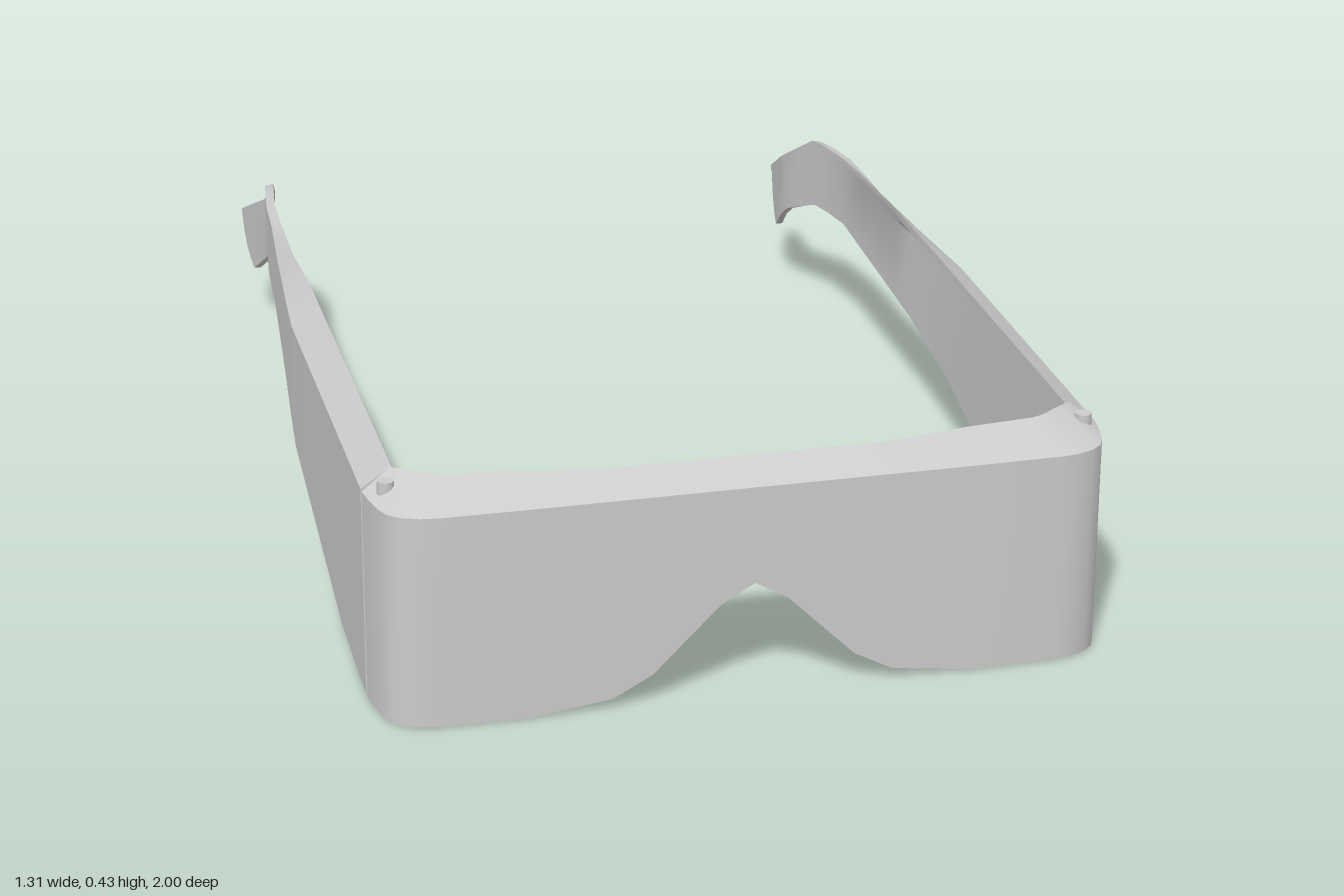
import * as THREE from 'three';
import { toCreasedNormals } from 'three/addons/utils/BufferGeometryUtils.js';

const T = 0.014; // wall thickness
const material = new THREE.MeshStandardMaterial({ color: 0xcccccc });

// Skin a list of equal-length closed sections, each point [x, y, z], and cap both ends.
function loft(sections, caps, crease = 0.6) {
  const n = sections[0].length;
  const pos = [];
  const tri = (a, b, c) => pos.push(...a, ...b, ...c);
  for (let i = 0; i < sections.length - 1; i++) {
    const A = sections[i], B = sections[i + 1];
    for (let j = 0; j < n; j++) {
      const k = (j + 1) % n;
      tri(A[j], B[j], B[k]);
      tri(A[j], B[k], A[k]);
    }
  }
  const first = sections[0], last = sections[sections.length - 1];
  for (const [a, b, c] of caps) {
    tri(first[a], first[b], first[c]);
    tri(last[a], last[c], last[b]);
  }
  const g = new THREE.BufferGeometry();
  g.setAttribute('position', new THREE.Float32BufferAttribute(pos, 3));
  return toCreasedNormals(g, crease);
}

const WALL_CAPS = [[0, 1, 4], [0, 4, 5], [1, 2, 3], [1, 3, 4]];
const STRIP_CAPS = [[0, 1, 2], [0, 2, 3]];

// Thin wall with a sloping lip that leans inward along its top.
function wallSection(bottom, top, lip) {
  const dx = lip[0] - top[0], dz = lip[2] - top[2];
  const s = T / Math.hypot(dx, dz);
  const inset = (p, y) => [p[0] + dx * s, y, p[2] + dz * s];
  return [bottom, top, lip, [lip[0], lip[1] - T, lip[2]],
    inset(top, top[1] - T * 0.6), inset(bottom, bottom[1])];
}

// Piecewise linear lookup in a table of [z, value], z falling.
function lookup(table, z) {
  if (z >= table[0][0]) return table[0][1];
  for (let i = 1; i < table.length; i++) {
    const [z0, v0] = table[i - 1], [z1, v1] = table[i];
    if (z >= z1) return v0 + (v1 - v0) * (z0 - z) / (z0 - z1);
  }
  return table[table.length - 1][1];
}

const mirrorX = (sections) => sections.map(s => s.map(([x, y, z]) => [-x, y, z])).reverse();

function add(group, name, geometry) {
  const mesh = new THREE.Mesh(geometry, material);
  mesh.name = name;
  group.add(mesh);
  return mesh;
}

// Front visor, from the nose outward: outer x, z, bottom y, lip x, z, lip y
function visorGeometry() {
  const half = [
    [0, 1, 0.215, 0, 0.945, 0.432],
    [0.06, 1, 0.18, 0.06, 0.945, 0.432],
    [0.12, 1, 0.12, 0.12, 0.945, 0.432],
    [0.18, 1, 0.06, 0.18, 0.945, 0.432],
    [0.25, 1, 0.022, 0.25, 0.945, 0.432],
    [0.4, 1, 0.002, 0.4, 0.924, 0.435],
    [0.55, 0.998, 0.004, 0.52, 0.914, 0.436],
    [0.58, 0.994, 0.004, 0.535, 0.909, 0.436],
    [0.61, 0.982, 0.004, 0.552, 0.899, 0.436],
    [0.63, 0.965, 0.004, 0.568, 0.886, 0.436],
    [0.64, 0.943, 0.004, 0.585, 0.875, 0.436],
    [0.65, 0.9, 0.004, 0.6, 0.867, 0.436],
    [0.655, 0.862, 0.004, 0.605, 0.862, 0.436],
  ].map(([x, z, yb, lx, lz, ly]) => wallSection([x, yb, z], [x, 0.395, z], [lx, ly, lz]));
  return loft([...mirrorX(half).slice(0, -1), ...half], WALL_CAPS);
}

// Flange that runs inward along the nose notch: x, edge y, depth
function noseGeometry() {
  const half = [[0, 0.215, 0.08], [0.06, 0.18, 0.072], [0.12, 0.12, 0.057],
    [0.18, 0.06, 0.035], [0.25, 0.022, 0.016]]
    .map(([x, y, d]) => [[x, y, 0.998], [x, y + T, 0.998], [x, y + T, 1 - d], [x, y, 1 - d]]);
  return loft([...mirrorX(half).slice(0, -1), ...half], STRIP_CAPS, 0.4);
}

// Side arm: outer face x, lip width and lip height along z
const ARM_X = [[0.85, 0.655], [0.1, 0.655], [0, 0.648], [-0.2, 0.632], [-0.4, 0.616],
  [-0.5, 0.611], [-0.65, 0.592], [-0.78, 0.568], [-0.82, 0.567], [-0.9, 0.581], [-1, 0.595]];
const LIP_WIDTH = [[0.1, 0.054], [0, 0.048], [-0.2, 0.027], [-0.4, 0.017], [-1, 0.016]];
const LIP_HEIGHT = [[0, 0.036], [-0.28, 0.028], [-0.45, 0.004], [-1, 0.002]];

function armSections() {
  // top z, top y, bottom z, bottom y
  return [
    [0.85, 0.431, 0.85, 0.004], [0.78, 0.431, 0.78, 0.006], [0.6, 0.431, 0.6, 0.02],
    [0.35, 0.431, 0.35, 0.085], [0.1, 0.431, 0.1, 0.152], [0, 0.43, 0, 0.178],
    [-0.12, 0.427, -0.12, 0.21], [-0.2, 0.424, -0.2, 0.224], [-0.28, 0.422, -0.28, 0.238],
    [-0.4, 0.418, -0.4, 0.258], [-0.5, 0.415, -0.5, 0.271], [-0.6, 0.41, -0.58, 0.268],
    [-0.66, 0.402, -0.65, 0.261], [-0.73, 0.363, -0.72, 0.234], [-0.8, 0.324, -0.78, 0.208],
    [-0.84, 0.305, -0.83, 0.177], [-0.91, 0.272, -0.92, 0.12], [-0.95, 0.253, -0.945, 0.134],
    [-0.98, 0.239, -0.967, 0.152], [-0.995, 0.231, -0.985, 0.18], [-1, 0.228, -0.996, 0.21],
  ].map(([zt, yt, zb, yb]) => {
    const x = lookup(ARM_X, zt);
    return wallSection([lookup(ARM_X, zb), yb, zb], [x, yt - lookup(LIP_HEIGHT, zt), zt],
      [x - lookup(LIP_WIDTH, zt), yt, zt]);
  });
}

export function createModel() {
  const model = new THREE.Group();
  model.name = 'wraparoundGlasses';
  add(model, 'visor', visorGeometry());
  add(model, 'noseFlange', noseGeometry());

  const arm = armSections();
  add(model, 'leftArm', loft(arm, WALL_CAPS));
  add(model, 'rightArm', loft(mirrorX(arm), WALL_CAPS));

  // Hinge pins standing on the visor corners
  for (const side of [1, -1]) {
    const pin = add(model, side > 0 ? 'leftHingePin' : 'rightHingePin',
      new THREE.CylinderGeometry(0.015, 0.015, 0.04, 16));
    pin.position.set(side * 0.62, 0.408, 0.897);
  }
  return model;
}
